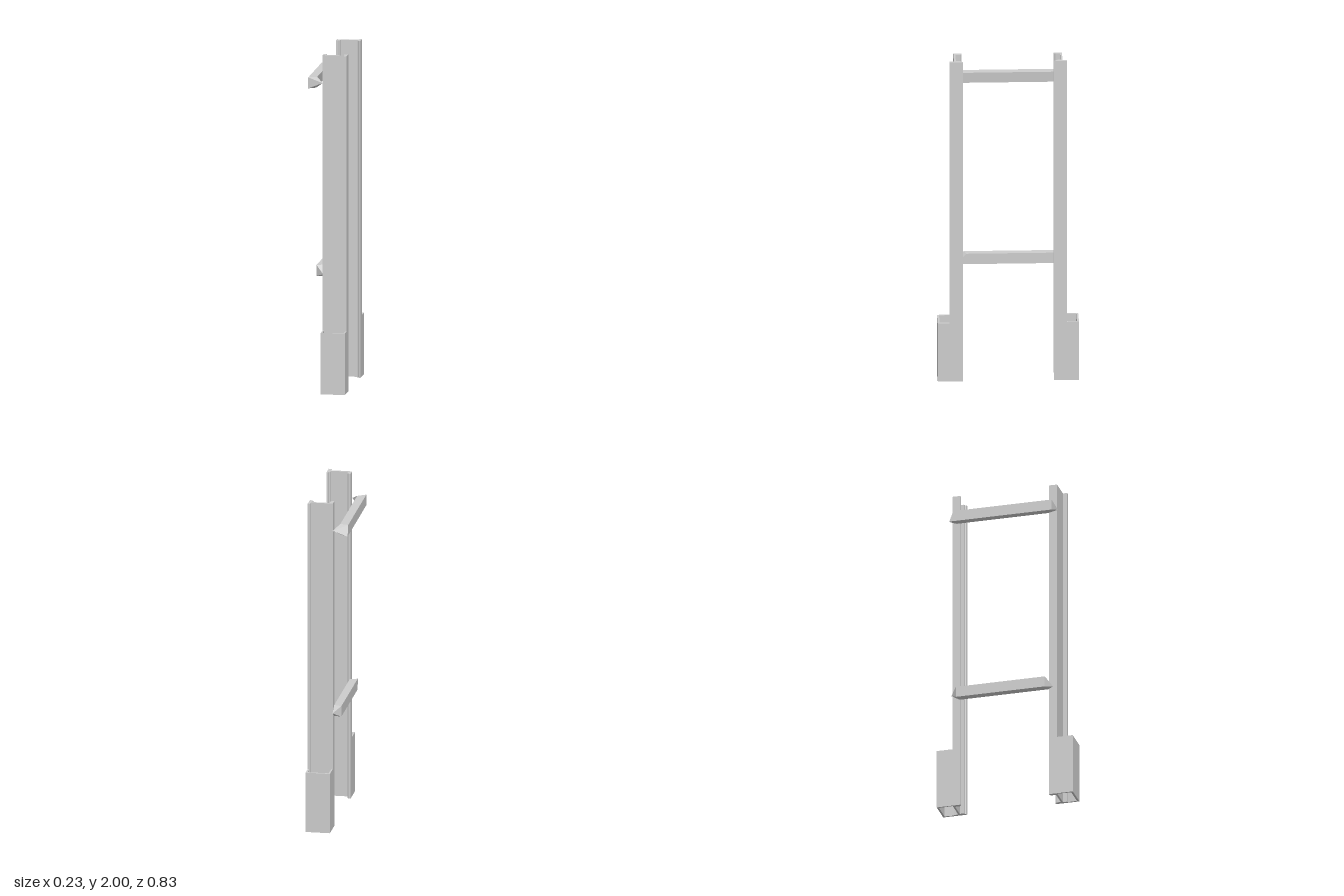
import * as THREE from 'three';

const material = new THREE.MeshStandardMaterial({ color: 0xcccccc, flatShading: true, side: THREE.DoubleSide });

// Cross-sections as [x, distance from the centre along z]
const RAIL = [
  [-0.03, 0.27], [-0.018, 0.27], [-0.009, 0.28], [-0.009, 0.308], [0.093, 0.308],
  [0.093, 0.283], [0.102, 0.28], [0.105, 0.272], [0.115, 0.268], [0.115, 0.345],
  [0.099, 0.345], [0.099, 0.319], [-0.03, 0.319],
];
const SLEEVE = [
  [-0.03, 0.319], [-0.03, 0.415], [0.115, 0.415], [0.115, 0.345],
  [0.106, 0.345], [0.103, 0.403], [-0.019, 0.403], [-0.023, 0.319],
];

// Upright extrusion of a cross-section; side is +1 or -1 along z
function upright(name, profile, side, height) {
  const shape = new THREE.Shape(profile.map(([x, d]) => new THREE.Vector2(x, -side * d)));
  const geometry = new THREE.ExtrudeGeometry(shape, { depth: height, bevelEnabled: false });
  geometry.rotateX(-Math.PI / 2);
  const mesh = new THREE.Mesh(geometry, material);
  mesh.name = name;
  return mesh;
}

// Four-sided bar with a pointed tip at each end.
// section: four [x, y] corners; back and front: z of each corner
function rung(name, section, back, front, backTip, frontTip) {
  const b = section.map(([x, y], i) => [x, y, back[i]]);
  const f = section.map(([x, y], i) => [x, y, front[i]]);
  const triangles = [];
  for (let i = 0; i < 4; i++) {
    const j = (i + 1) % 4;
    triangles.push(b[i], b[j], f[j], b[i], f[j], f[i]); // long side
    triangles.push(f[i], f[j], frontTip, b[j], b[i], backTip); // end points
  }
  const geometry = new THREE.BufferGeometry();
  geometry.setAttribute('position', new THREE.Float32BufferAttribute(triangles.flat(), 3));
  geometry.computeVertexNormals();
  const mesh = new THREE.Mesh(geometry, material);
  mesh.name = name;
  return mesh;
}

export function createModel() {
  const model = new THREE.Group();
  model.name = 'ladderFrame';

  // Channel rails with open sleeves around their feet
  for (const [side, label] of [[1, 'front'], [-1, 'back']]) {
    model.add(upright(label + 'Rail', RAIL, side, 2));
    model.add(upright(label + 'FootSleeve', SLEEVE, side, 0.365));
  }

  // Upper rung stands off the rails, its ends bent in to meet them
  model.add(rung('upperRung',
    [[-0.117, 1.8], [-0.075, 1.8], [-0.068, 1.865], [-0.117, 1.865]],
    [-0.313, -0.28, -0.278, -0.29], [0.31, 0.275, 0.275, 0.31],
    [-0.03, 1.835, -0.327], [-0.03, 1.835, 0.325]));

  // Lower rung lies against the rails
  model.add(rung('lowerRung',
    [[-0.075, 0.68], [-0.03, 0.68], [-0.03, 0.745], [-0.075, 0.745]],
    [-0.285, -0.275, -0.27, -0.285], [0.255, 0.265, 0.24, 0.257],
    [-0.03, 0.71, -0.325], [-0.03, 0.695, 0.295]));

  return model;
}
